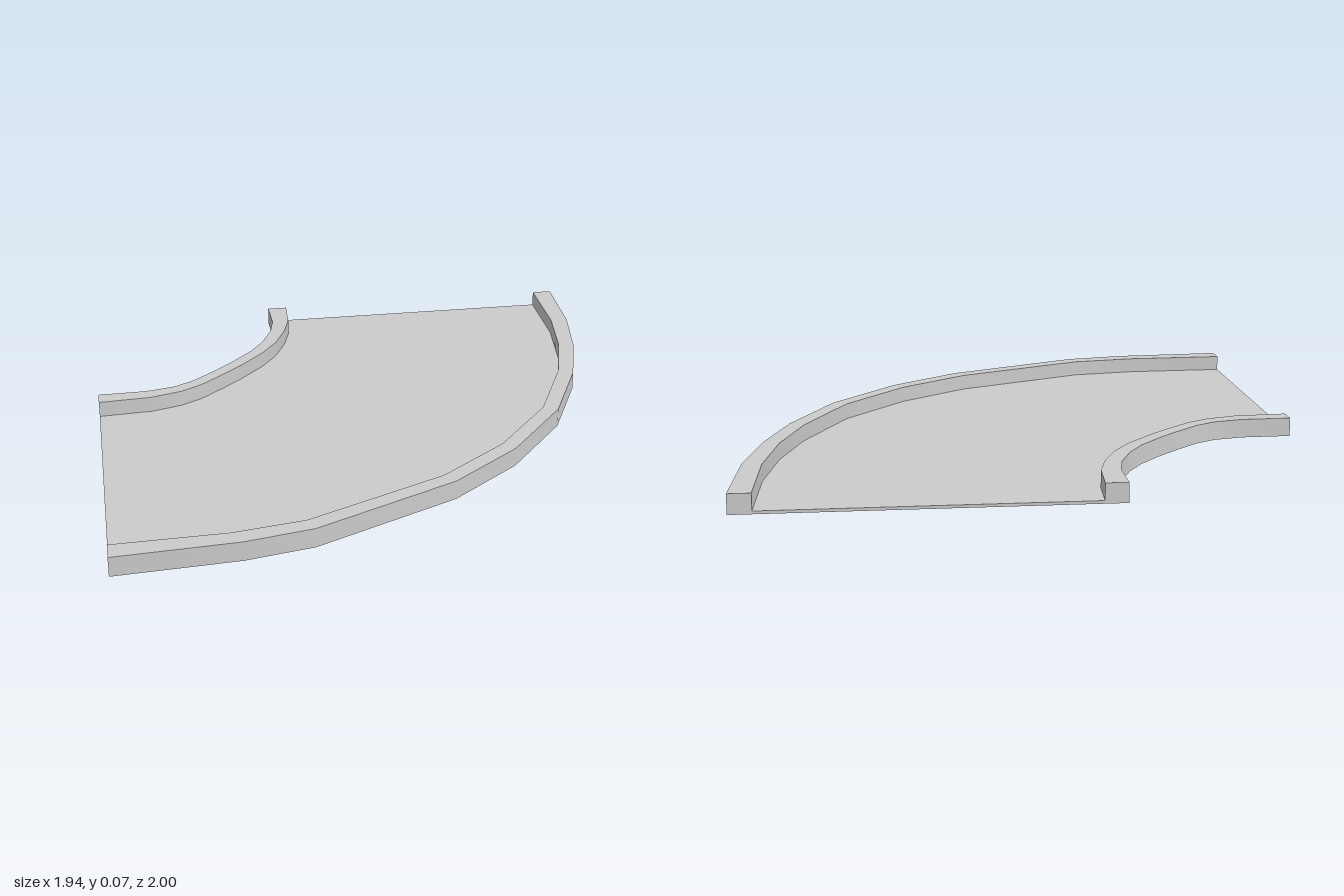
import * as THREE from 'three';
import { toCreasedNormals } from 'three/addons/utils/BufferGeometryUtils.js';

const CURB_HEIGHT = 0.066;
const ROAD_HEIGHT = 0.01;

// Plan outlines as [x, z], each running from the back end to the right end
const outerFace = [[0.97, -1], [0.945, -0.66], [0.89, -0.38], [0.81, -0.12], [0.66, 0.195],
  [0.425, 0.485], [0.17, 0.69], [-0.33, 0.93], [-0.56, 0.975], [-0.97, 1]];
const outerRoadEdge = [[0.895, -1], [0.88, -0.67], [0.835, -0.4], [0.76, -0.15], [0.61, 0.17],
  [0.39, 0.44], [0.14, 0.64], [-0.35, 0.87], [-0.59, 0.91], [-0.97, 0.92]];
const innerRoadEdge = [[-0.175, -1], [-0.185, -0.85], [-0.215, -0.74], [-0.265, -0.62], [-0.33, -0.52],
  [-0.43, -0.405], [-0.51, -0.325], [-0.59, -0.25], [-0.67, -0.2], [-0.78, -0.165], [-0.97, -0.152]];
const innerFace = [[-0.25, -1], [-0.25, -0.85], [-0.27, -0.75], [-0.315, -0.64], [-0.37, -0.55],
  [-0.46, -0.445], [-0.54, -0.365], [-0.615, -0.295], [-0.69, -0.25], [-0.795, -0.225], [-0.97, -0.222]];

// Upright slab filling the strip between two plan outlines
function strip(name, edgeA, edgeB, height, material) {
  const outline = [...edgeA, ...[...edgeB].reverse()].map(([x, z]) => new THREE.Vector2(x, -z));
  const geometry = new THREE.ExtrudeGeometry(new THREE.Shape(outline), { depth: height, bevelEnabled: false });
  geometry.rotateX(-Math.PI / 2);
  const mesh = new THREE.Mesh(toCreasedNormals(geometry, 0.6), material);
  mesh.name = name;
  return mesh;
}

export function createModel() {
  const group = new THREE.Group();
  group.name = 'curvedTrack';
  const material = new THREE.MeshStandardMaterial({ color: 0xcccccc });
  group.add(
    strip('roadBed', outerRoadEdge, innerRoadEdge, ROAD_HEIGHT, material),
    strip('outerCurb', outerFace, outerRoadEdge, CURB_HEIGHT, material),
    strip('innerCurb', innerRoadEdge, innerFace, CURB_HEIGHT, material),
  );
  return group;
}
